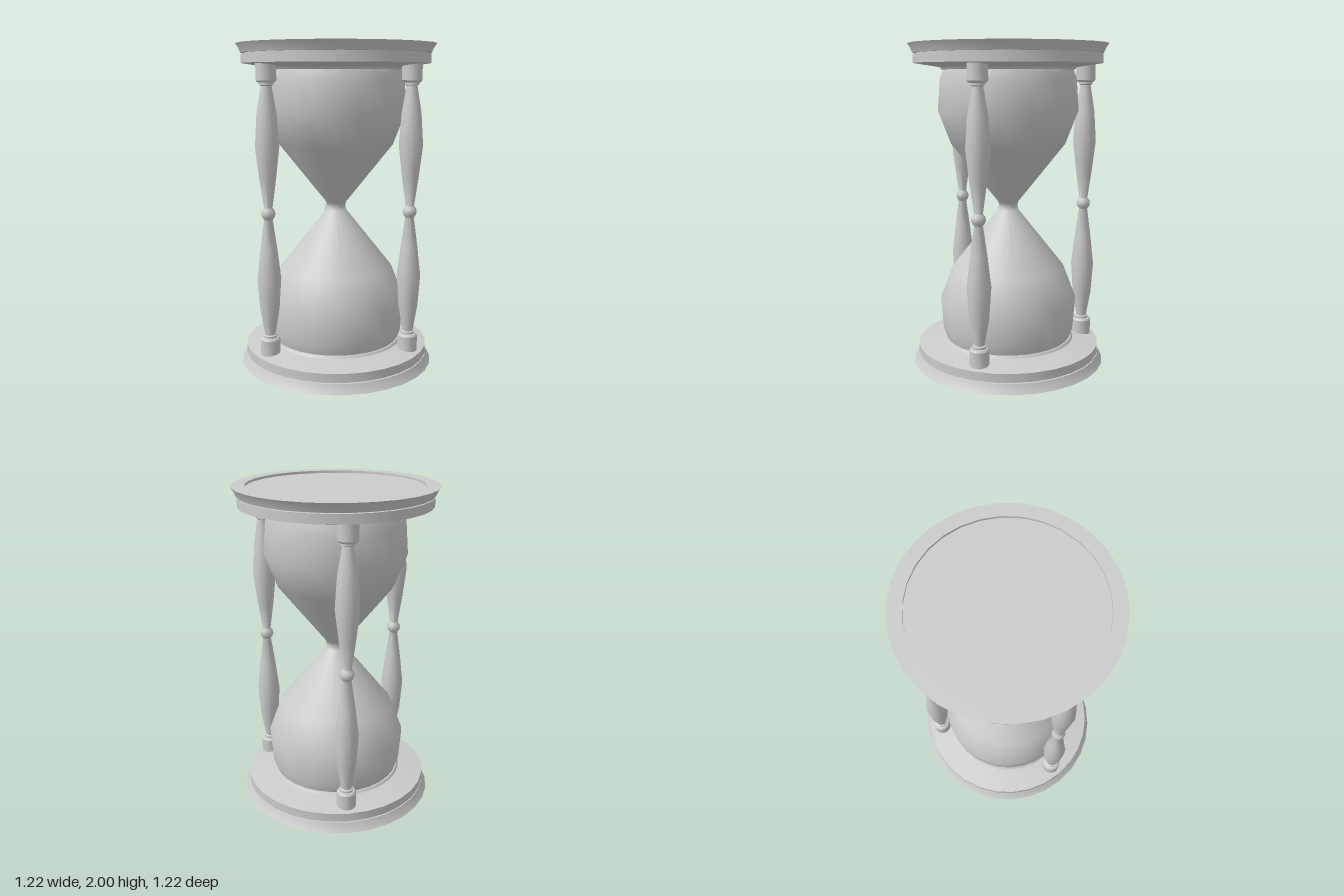
import * as THREE from 'three';
import { toCreasedNormals } from 'three/addons/utils/BufferGeometryUtils.js';

const material = new THREE.MeshStandardMaterial({ color: 0xcccccc });

// Turned part from [radius, height] pairs, listed from bottom to top on the outside.
function turned(name, profile, segments, crease) {
  const points = profile.map(([r, y]) => new THREE.Vector2(r, y));
  let geometry = new THREE.LatheGeometry(points, segments);
  if (crease) geometry = toCreasedNormals(geometry, crease);
  const mesh = new THREE.Mesh(geometry, material);
  mesh.name = name;
  return mesh;
}

// Reflects a profile about mid height y = 1, keeping bottom-to-top order.
const flip = (profile) => profile.map(([r, y]) => [r, 2 - y]).reverse();

export function createModel() {
  const group = new THREE.Group();
  group.name = 'hourglass';

  // End plates: flared rim, narrow groove, straight band, shallow cone and collar
  const plate = [
    [0.612, 0], [0.595, 0.025], [0.582, 0.055], [0.56, 0.055], [0.56, 0.061],
    [0.58, 0.061], [0.58, 0.116], [0.42, 0.14], [0.41, 0.154], [0, 0.154],
  ];
  group.add(turned('bottomPlate', [[0, 0], ...plate], 30, 0.5));
  // The top plate has a shallow round recess
  const recess = [[0.53, 2], [0.53, 1.985], [0, 1.985]];
  group.add(turned('topPlate', [...flip(plate), ...recess], 30, 0.5));

  // Glass: two bulbs joined by a narrow neck
  const bulb = [
    [0.395, 0.14], [0.42, 0.21], [0.435, 0.4], [0.357, 0.605], [0.063, 0.975], [0.058, 1],
  ];
  group.add(turned('glass', [...bulb, ...flip(bulb).slice(1)], 30));

  // Three turned posts, one at the back and two towards the front
  const half = [
    [0, 0.112], [0.06, 0.112], [0.06, 0.217], [0.052, 0.228], [0.042, 0.23],
    [0.042, 0.243], [0.032, 0.248], [0.059, 0.41], [0.072, 0.6], [0.05, 0.79],
    [0.026, 0.963],
  ];
  // Ball at the middle of each post
  const ball = [-50, -25, 0, 25, 50].map((d) => {
    const a = THREE.MathUtils.degToRad(d);
    return [0.043 * Math.cos(a), 1 + 0.043 * Math.sin(a)];
  });
  const postProfile = [...half, ...ball, ...flip(half)];
  for (let i = 0; i < 3; i++) {
    const angle = Math.PI + (i * Math.PI * 2) / 3;
    const post = turned(['backPost', 'rightPost', 'leftPost'][i], postProfile, 16, 0.6);
    post.position.set(Math.sin(angle) * 0.492, 0, Math.cos(angle) * 0.492);
    post.rotation.y = angle;
    group.add(post);
  }
  // sin(PI + 120deg) is +x, the model's own left
  group.children[group.children.length - 2].name = 'leftPost';
  group.children[group.children.length - 1].name = 'rightPost';

  return group;
}
